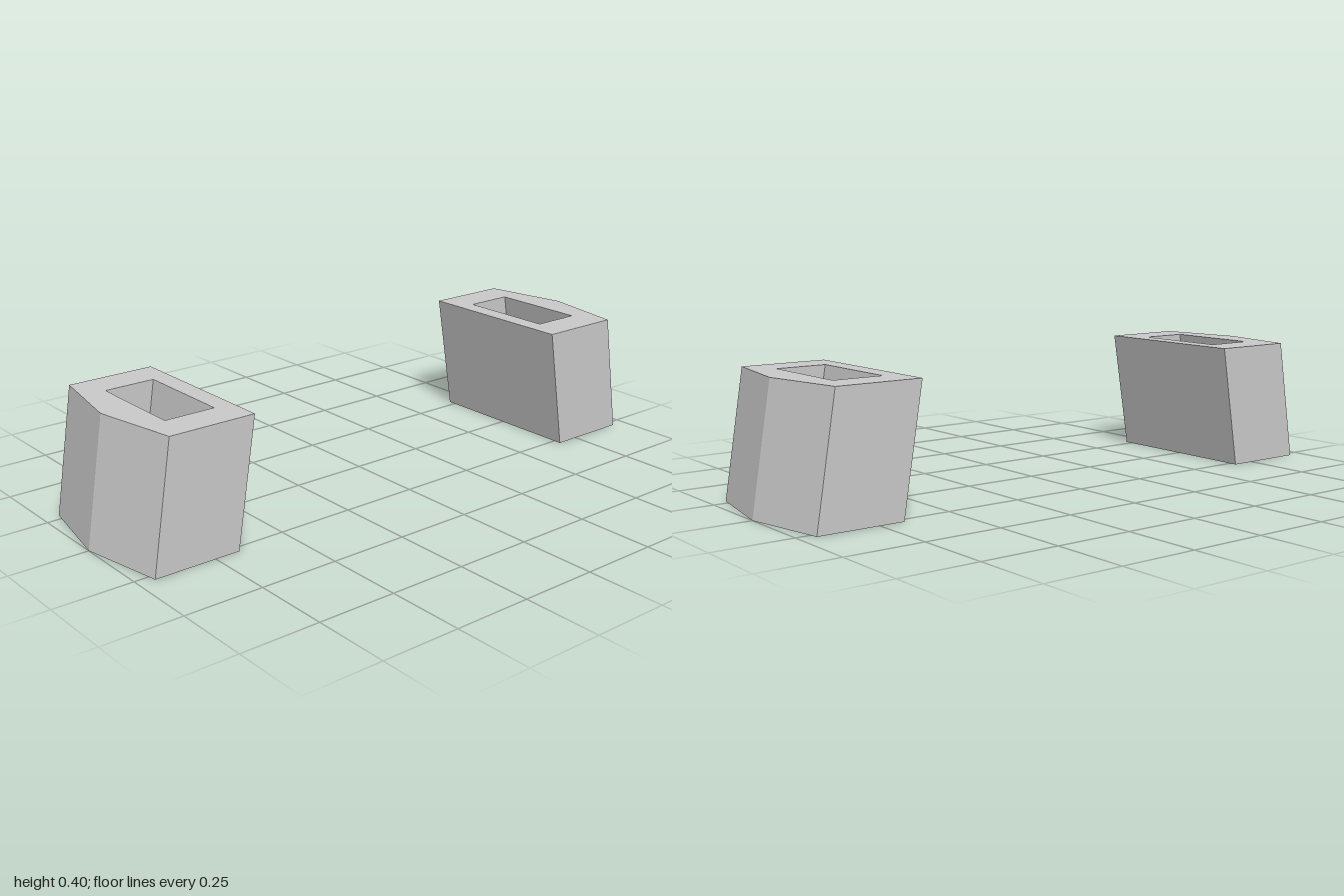
import * as THREE from 'three';

const HEIGHT = 0.402;
const LEAN = 0.067; // inward shift from bottom to top

// Footprint corners at ground level as [x, z], for the +x side
const OUTLINE = [[0.67, -0.276], [0.949, -0.276], [1, 0], [0.949, 0.276], [0.67, 0.276]];
const OPENING = [[0.73, -0.163], [0.892, -0.163], [0.892, 0.163], [0.73, 0.163]];

const toPoints = (list) => list.map(([x, z]) => new THREE.Vector2(x, z));

// Hollow block with a pointed outer side, leaning towards the middle
function createBlockGeometry() {
  const shape = new THREE.Shape(toPoints(OUTLINE));
  shape.holes.push(new THREE.Path(toPoints(OPENING)));

  const geometry = new THREE.ExtrudeGeometry(shape, { depth: HEIGHT, bevelEnabled: false });
  geometry.rotateX(-Math.PI / 2);

  // Shear the block inwards as it rises
  geometry.applyMatrix4(new THREE.Matrix4().set(
    1, -LEAN / HEIGHT, 0, 0,
    0, 1, 0, 0,
    0, 0, 1, 0,
    0, 0, 0, 1
  ));
  geometry.computeVertexNormals();
  return geometry;
}

export function createModel() {
  const group = new THREE.Group();
  group.name = 'hollowBlockPair';

  const geometry = createBlockGeometry();
  const material = new THREE.MeshStandardMaterial({ color: 0xcccccc, flatShading: true });

  // The block is symmetric front to back, so a half turn gives its opposite
  for (const [name, turn] of [['leftBlock', 0], ['rightBlock', Math.PI]]) {
    const block = new THREE.Mesh(geometry, material);
    block.name = name;
    block.rotation.y = turn;
    group.add(block);
  }
  return group;
}
